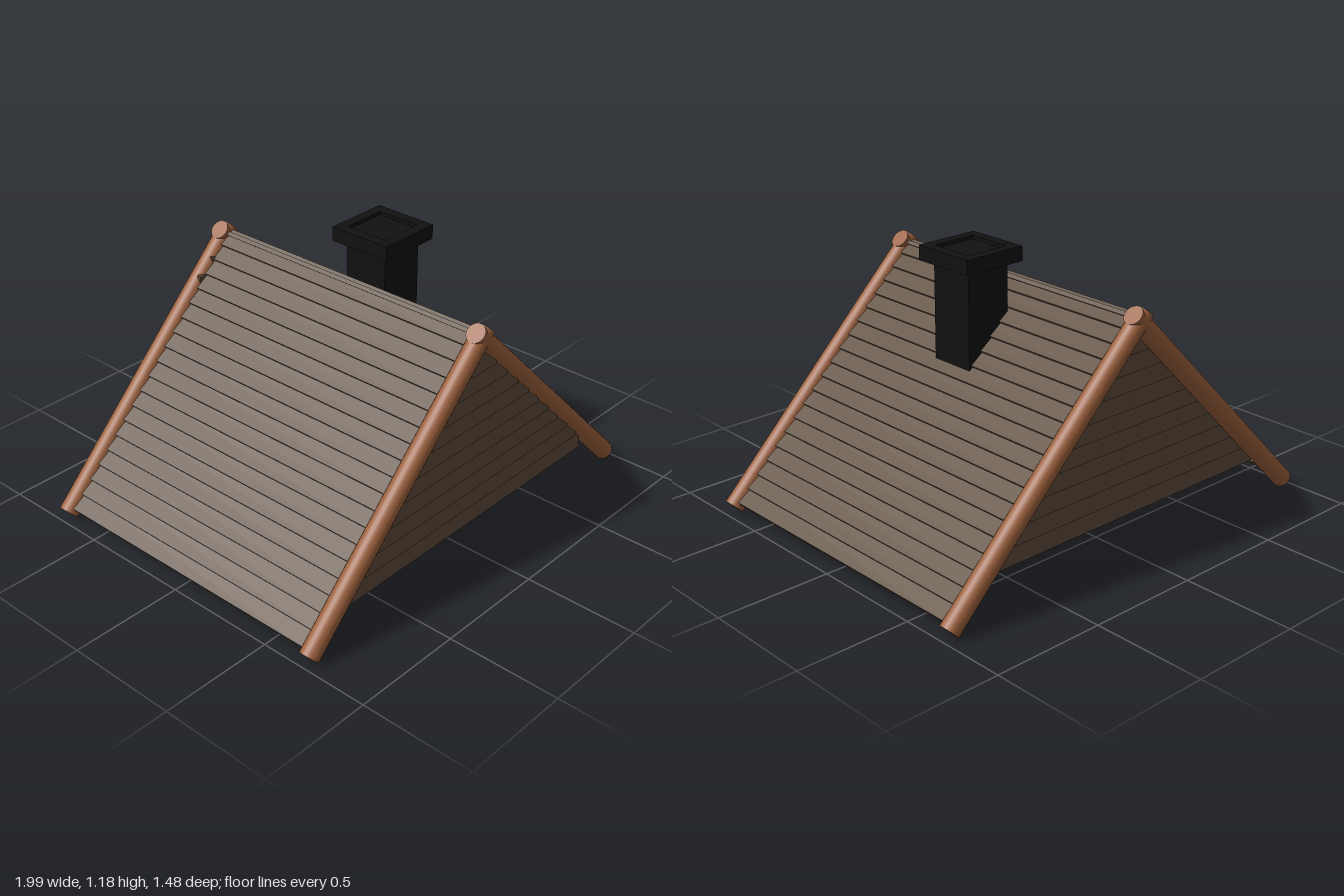
import * as THREE from 'three';

const mat = (color) => new THREE.MeshStandardMaterial({ color });

function add(parent, name, geometry, material, x = 0, y = 0, z = 0) {
  const mesh = new THREE.Mesh(geometry, material);
  mesh.name = name;
  mesh.position.set(x, y, z);
  parent.add(mesh);
  return mesh;
}

export function createModel() {
  const model = new THREE.Group();
  model.name = 'cabinRoof';
  const plankMat = mat(0x5c4a39);
  const logMat = mat(0x9a5f3b);
  const logEndMat = mat(0x8a7258);
  const stoneMat = mat(0x111111);

  // One slope: overlapping boards and the two edge logs, laid out along local x
  const makeSlope = (name) => {
    const slope = new THREE.Group();
    slope.name = name;
    slope.position.y = 1;
    const tilted = new THREE.Group();
    tilted.name = name + 'Boards';
    tilted.rotation.z = -Math.PI / 4;
    slope.add(tilted);

    const count = 19, start = -0.015, pitch = 1.362 / count;
    const board = new THREE.BoxGeometry(pitch + 0.012, 0.018, 1.36);
    for (let i = 0; i < count; i++) {
      const b = add(tilted, 'roofPlank', board, plankMat, start + (i + 0.5) * pitch - 0.006, 0.008, 0);
      b.rotation.z = 0.15;
    }

    // Logs run from just past the ridge down to the eaves
    const top = -0.042, bottom = 1.367, radius = 0.042;
    for (const z of [-0.7, 0.7]) {
      const log = add(tilted, 'edgeLog', new THREE.CylinderGeometry(radius, radius, bottom - top, 24),
        logMat, (top + bottom) / 2, 0, z);
      log.rotation.z = Math.PI / 2;
      const core = add(tilted, 'logHeartwood', new THREE.CircleGeometry(0.018, 20), logEndMat, bottom + 0.001, 0, z);
      core.rotation.y = Math.PI / 2;
    }
    return slope;
  };
  const leftSlope = makeSlope('leftSlope');
  const rightSlope = makeSlope('rightSlope');
  rightSlope.rotation.y = Math.PI;
  model.add(leftSlope, rightSlope);

  // Gable walls: clapboards, lower edges leaning outwards
  const makeGable = (name, z, side) => {
    const gable = new THREE.Group();
    gable.name = name;
    const rows = 10, pitch = 0.0757;
    for (let i = 0; i < rows; i++) {
      const y = 0.18 + i * pitch;
      const half = Math.max(0.94 - y, 0.05);
      let x0 = -half, x1 = half;
      if (i === 0) x1 = 0.715;
      if (side < 0 && (i === 8 || i === 9)) x0 -= 0.035; // uneven board ends
      const h = i === rows - 1 ? 0.075 : pitch + 0.012;
      const plank = add(gable, 'gablePlank', new THREE.BoxGeometry(x1 - x0, h, 0.018),
        plankMat, (x0 + x1) / 2, y + h / 2, z);
      plank.rotation.x = -side * 0.15;
    }
    model.add(gable);
  };
  makeGable('frontGable', 0.715, 1);
  makeGable('backGable', -0.675, -1);

  // Chimney: square shaft and a cap with a shallow flue opening
  const chimney = new THREE.Group();
  chimney.name = 'chimney';
  chimney.position.set(0.215, 0, 0.018);
  model.add(chimney);
  add(chimney, 'chimneyShaft', new THREE.BoxGeometry(0.208, 0.48, 0.208), stoneMat, 0, 0.93, 0);

  const square = (shape, r) => {
    shape.moveTo(-r, -r);
    shape.lineTo(r, -r);
    shape.lineTo(r, r);
    shape.lineTo(-r, r);
    shape.closePath();
    return shape;
  };
  const rim = square(new THREE.Shape(), 0.146);
  rim.holes.push(square(new THREE.Path(), 0.1));
  const cap = add(chimney, 'chimneyCap',
    new THREE.ExtrudeGeometry(rim, { depth: 0.063, bevelEnabled: false }), stoneMat, 0, 1.122, 0);
  cap.rotation.x = -Math.PI / 2;

  return model;
}
